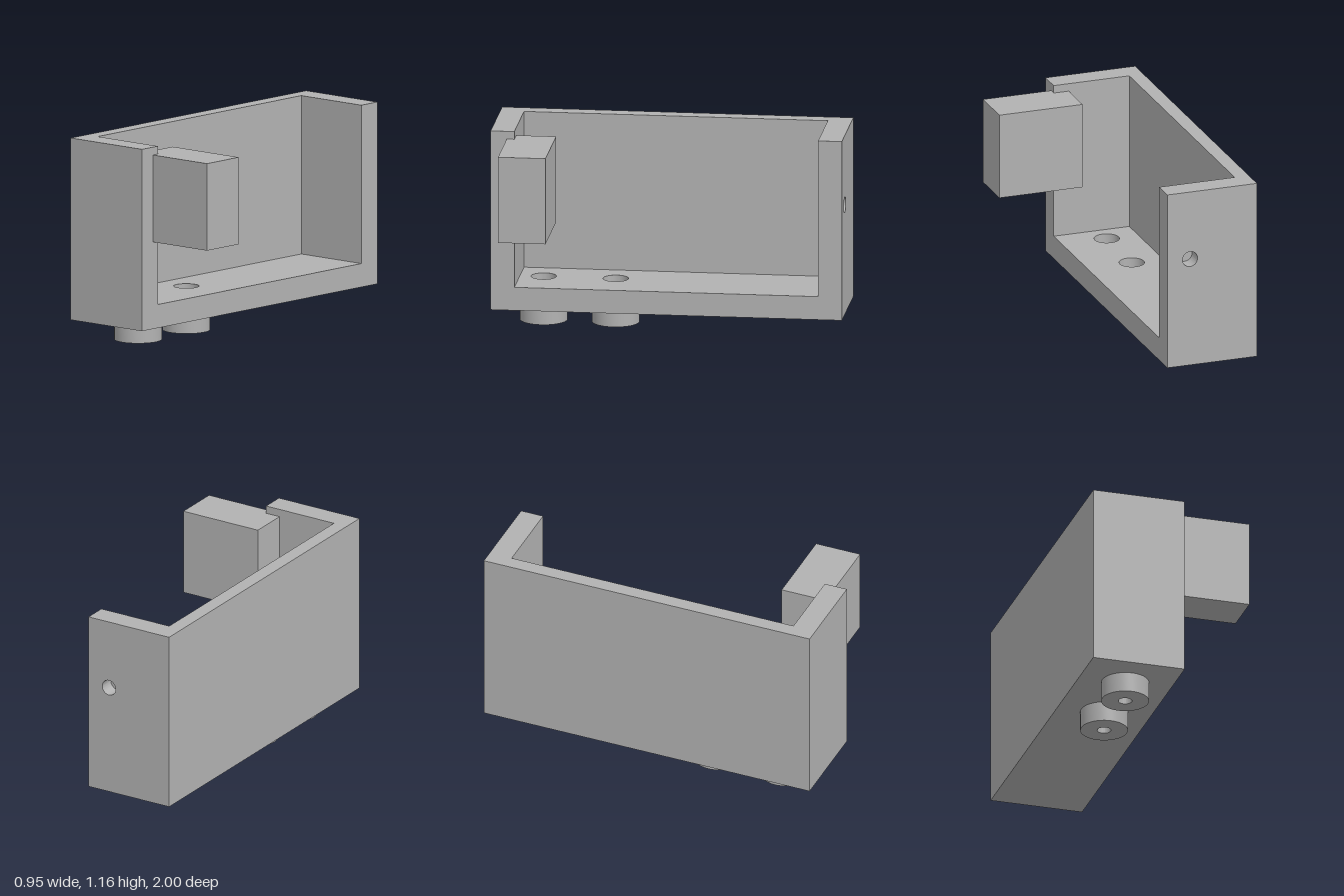
import * as THREE from 'three';
import { toCreasedNormals } from 'three/addons/utils/BufferGeometryUtils.js';

const grey = new THREE.MeshStandardMaterial({ color: 0xb2b2b2 });
grey.name = 'plain grey';

// Housing extents
const X0 = -0.475, X1 = 0.065, Y0 = 0.115, Y1 = 1.16;
const SIDE = -0.39, END = 0.865, FLOOR = 0.25, DRILL = 0.09;
const BORES = [0.32, 0.73], BORE_X = -0.205;

function circle(x, y, r, Target = THREE.Path) {
  const p = new Target();
  p.absarc(x, y, r, 0, Math.PI * 2);
  return p;
}

function polygon(points) {
  return new THREE.Shape(points.map(([x, y]) => new THREE.Vector2(x, y)));
}

function extrude(shape, depth) {
  const geo = new THREE.ExtrudeGeometry(shape, { depth, bevelEnabled: false, curveSegments: 24 });
  return toCreasedNormals(geo, 0.6);
}

// Plan shapes use (x, -z) and rise from y0 to y1
function upright(shape, y0, y1) {
  return extrude(shape, y1 - y0).rotateX(-Math.PI / 2).translate(0, y0, 0);
}

export function createModel() {
  const model = new THREE.Group();
  const add = (name, geo) => {
    const mesh = new THREE.Mesh(geo, grey);
    mesh.name = name;
    model.add(mesh);
  };

  // Floor with two bored holes
  const floor = polygon([[X0, -1], [X1, -1], [X1, 1], [X0, 1]]);
  floor.holes = BORES.map((z) => circle(BORE_X, -z, 0.072));
  add('floor', upright(floor, Y0, FLOOR));

  // C-shaped wall: front end, long side and the inner layer of the back end
  const back = 1 - DRILL;
  add('wall', upright(polygon([
    [X0, -1], [X1, -1], [X1, -END], [SIDE, -END],
    [SIDE, END], [X1, END], [X1, back], [X0, back],
  ]), FLOOR, Y1));

  // Outer layer of the back end, forming a blind drilled hole
  const plate = polygon([[X0, FLOOR], [X1, FLOOR], [X1, Y1], [X0, Y1]]);
  plate.holes = [circle(-0.072, 0.755, 0.045)];
  add('drilledBackEnd', extrude(plate, DRILL).translate(0, 0, -1));

  // Block let into the front end wall
  add('block', new THREE.BoxGeometry(0.5, 0.5, 0.27).translate(0.225, 0.865, 0.773));

  // Ring-shaped feet below the bores
  for (const z of BORES) {
    const ring = circle(BORE_X, -z, 0.135, THREE.Shape);
    ring.holes = [circle(BORE_X, -z, 0.039)];
    add('foot', upright(ring, 0, Y0));
  }
  return model;
}
